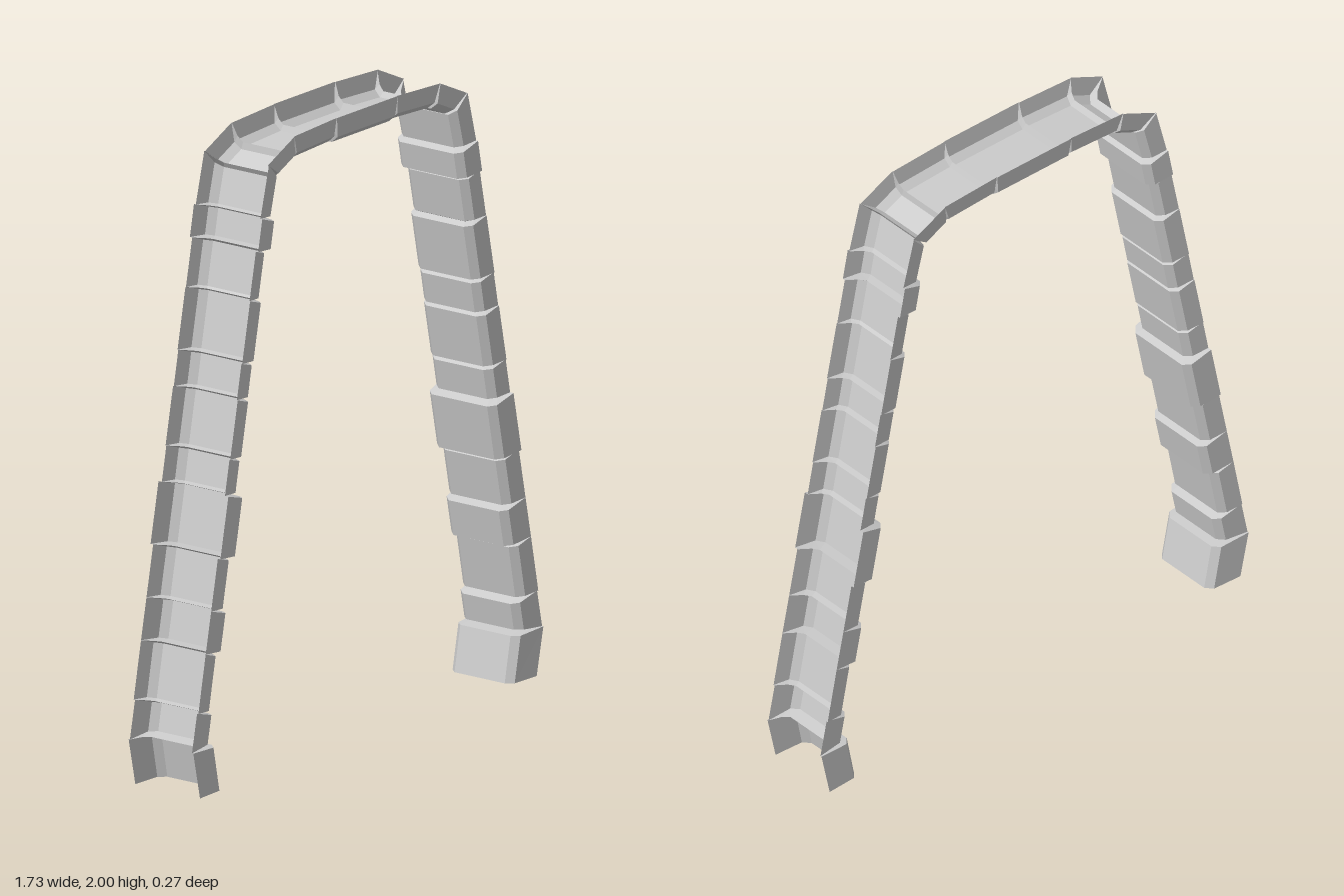
import * as THREE from 'three';

// Outer edge of the right half of the arch, foot to crown: one point per joint
const half = [
  [0.83, 0], [0.863, 0.15], [0.838, 0.27], [0.802, 0.45], [0.775, 0.58], [0.742, 0.74],
  [0.703, 0.93], [0.681, 1.04], [0.644, 1.22], [0.622, 1.33], [0.583, 1.52],
  [0.552, 1.67], [0.532, 1.77], [0.49, 1.93], [0.36, 1.99], [0.15, 2.0],
];
// Depth and half width of each stone, foot to keystone
const halfStones = [
  [0.122, 0.125], [0.1, 0.12], [0.078, 0.125], [0.1, 0.125], [0.083, 0.125],
  [0.098, 0.135], [0.078, 0.122], [0.08, 0.125], [0.08, 0.122], [0.082, 0.125],
  [0.07, 0.123], [0.088, 0.132], [0.075, 0.125], [0.08, 0.122], [0.078, 0.12],
];
const keystone = [0.083, 0.122];

const material = new THREE.MeshStandardMaterial({
  color: 0xcccccc, flatShading: true, side: THREE.DoubleSide,
});

// Skin between channel-shaped cross-sections
function strip(name, sections) {
  const pos = [], index = [], n = sections[0].length;
  sections.forEach((s) => s.forEach((p) => pos.push(p.x, p.y, p.z)));
  for (let i = 0; i < sections.length - 1; i++) {
    for (let j = 0; j < n - 1; j++) {
      const a = i * n + j, b = a + n;
      index.push(a, a + 1, b, a + 1, b + 1, b);
    }
  }
  const g = new THREE.BufferGeometry();
  g.setAttribute('position', new THREE.Float32BufferAttribute(pos, 3));
  g.setIndex(index);
  g.computeVertexNormals();
  const mesh = new THREE.Mesh(g, material);
  mesh.name = name;
  return mesh;
}

export function createModel() {
  const group = new THREE.Group();
  group.name = 'stoneArch';

  const mirrored = half.map(([x, y]) => [-x, y]).reverse();
  const path = [...half, ...mirrored].map(([x, y]) => new THREE.Vector2(x, y));
  const stones = [...halfStones, keystone, ...halfStones.slice().reverse()];
  const last = path.length - 1;
  const dirs = stones.map((_, i) => path[i + 1].clone().sub(path[i]).normalize());

  // Mitred inward direction at each joint, level at the feet
  const inward = path.map((_, i) => {
    if (i === 0) return new THREE.Vector2(-1, 0);
    if (i === last) return new THREE.Vector2(1, 0);
    const t = dirs[i - 1].clone().add(dirs[i]).normalize();
    return new THREE.Vector2(-t.y, t.x).divideScalar(t.dot(dirs[i]));
  });

  // Open channel: rim, shoulder, chamfered floor; shift opens the joint at the floor
  const section = (i, profile, dir, shift) => {
    const at = ([z, d], side) => {
      const p = path[i].clone().addScaledVector(inward[i], d);
      if (shift) p.addScaledVector(dir, shift * Math.min(1, d / 0.05));
      return new THREE.Vector3(p.x, p.y, side * z);
    };
    return [...profile.map((q) => at(q, 1)), ...profile.slice().reverse().map((q) => at(q, -1))];
  };
  const stoneProfile = ([d, w]) => [[w, 0], [w - 0.005, d - 0.02], [w - 0.028, d]];
  const jointProfile = [[0.122, 0], [0.106, 0.042], [0.088, 0.06]];

  const ends = stones.map((s, i) => [
    section(i, stoneProfile(s), dirs[i], i === 0 ? 0 : 0.007),
    section(i + 1, stoneProfile(s), dirs[i], i === stones.length - 1 ? 0 : -0.007),
  ]);

  // Stones
  ends.forEach((e, i) => {
    const name = i === 15 ? 'keystone' : i === 0 || i === stones.length - 1 ? 'footStone' : 'archStone';
    group.add(strip(name, e));
  });

  // Recessed joints between neighbouring stones
  for (let i = 1; i < last; i++) {
    group.add(strip('joint', [ends[i - 1][1], section(i, jointProfile, null, 0), ends[i][0]]));
  }
  return group;
}
